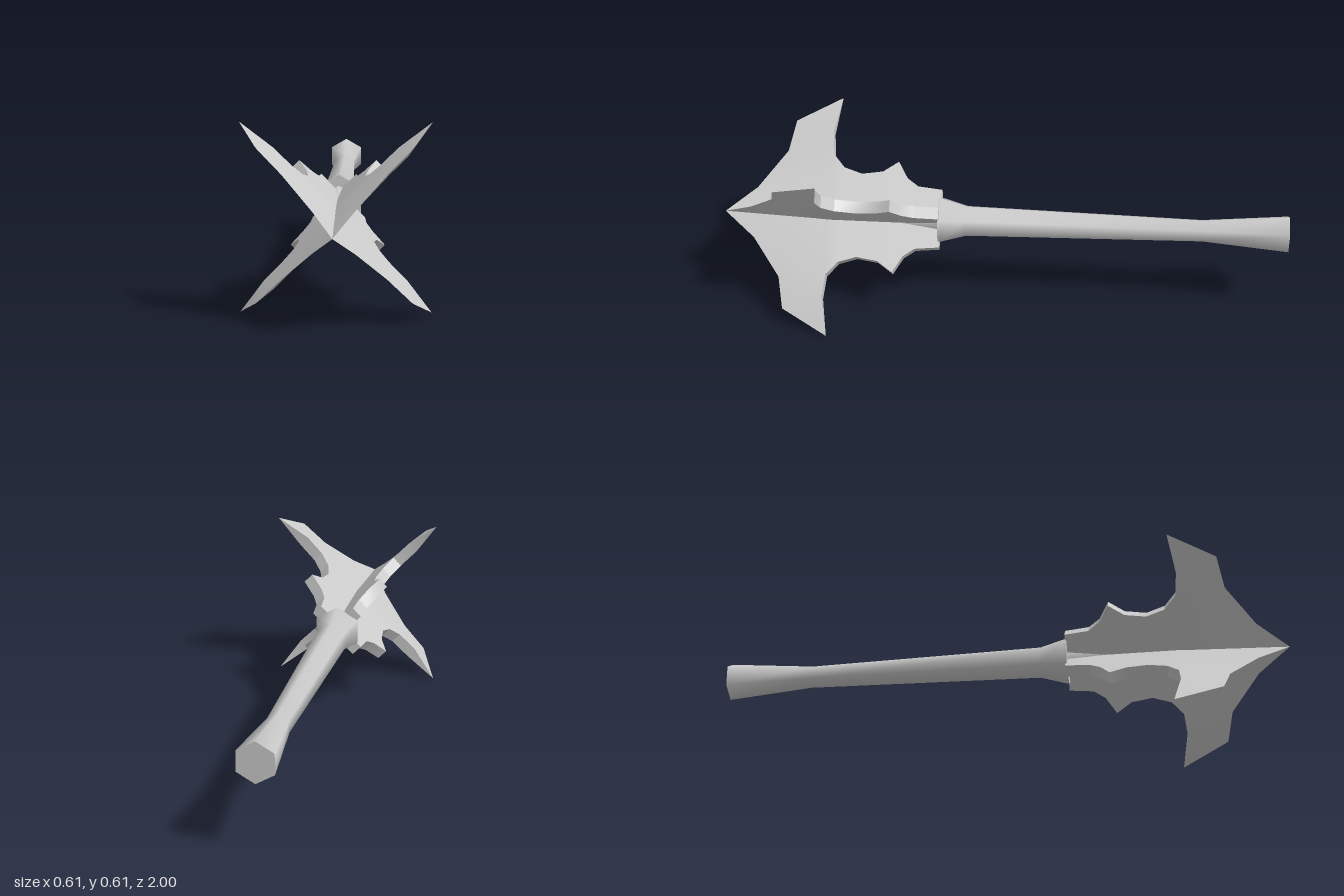
import * as THREE from 'three';
import { toCreasedNormals } from 'three/addons/utils/BufferGeometryUtils.js';

const CENTER_Y = 0.307;
const HALF = 0.021; // half thickness of a blade

// Six-sided solid of revolution along z, from [radius, z] pairs
function hexLathe(profile) {
  const geo = new THREE.LatheGeometry(profile.map(([r, z]) => new THREE.Vector2(r, z)), 6);
  geo.rotateX(Math.PI / 2);
  return toCreasedNormals(geo, 1.2);
}

// Blade: sharp leading edge, thick notched trailing edge, in the local x-z plane
function bladeGeometry() {
  const point = (z, h, t) => ({ z, x: h * Math.SQRT2, t });
  // leading edge, nose to wing tip
  const front = [[1, 0], [0.89, 0.065], [0.79, 0.163], [0.768, 0.243], [0.605, 0.307]]
    .map(([z, h]) => point(z, h, 0));
  // trailing edge, wing root to collar
  const rear = [[0.628, 0.213], [0.62, 0.155], [0.58, 0.122], [0.515, 0.107], [0.44, 0.115],
    [0.385, 0.142], [0.35, 0.1], [0.31, 0.08], [0.225, 0.074]]
    .map(([z, h]) => point(z, h, HALF));
  const axis = rear.slice(1).map((p) => point(p.z, 0, HALF));

  const pos = [];
  const push = (p, s) => pos.push(p.x, s * p.t, p.z);
  const sides = (a, b, c) => {
    const area = (b.z - a.z) * (c.x - a.x) - (b.x - a.x) * (c.z - a.z);
    const tri = area > 0 ? [a, b, c] : [a, c, b];
    tri.forEach((p) => push(p, 1));
    [...tri].reverse().forEach((p) => push(p, -1));
  };

  // wing and nose
  const [f0, f1, f2, f3, tip] = front;
  sides(tip, f3, rear[0]);
  sides(f3, f2, rear[0]);
  sides(f2, rear[1], rear[0]);
  sides(f2, f1, rear[1]);
  sides(f1, axis[0], rear[1]);
  sides(f1, f0, axis[0]);
  // notched body
  for (let i = 0; i < axis.length - 1; i++) {
    sides(axis[i], rear[i + 1], rear[i + 2]);
    sides(axis[i], rear[i + 2], axis[i + 1]);
  }
  // thick rim
  const rim = [tip, ...rear, axis[axis.length - 1]];
  for (let i = 0; i < rim.length - 1; i++) {
    const a = rim[i], b = rim[i + 1];
    push(a, -1); push(b, -1); push(b, 1);
    if (a.t > 0) { push(a, -1); push(b, 1); push(a, 1); }
  }
  const geo = new THREE.BufferGeometry();
  geo.setAttribute('position', new THREE.Float32BufferAttribute(pos, 3));
  return toCreasedNormals(geo, 0.5);
}

export function createModel() {
  const model = new THREE.Group();
  model.name = 'flangedMace';
  const material = new THREE.MeshStandardMaterial({ color: 0xcccccc });
  const add = (geo, name) => {
    const mesh = new THREE.Mesh(geo, material);
    mesh.name = name;
    mesh.position.y = CENTER_Y;
    model.add(mesh);
    return mesh;
  };

  // Shaft with flared butt and collar
  add(hexLathe([[0, -1], [0.07, -1], [0.042, -0.7], [0.059, 0.13], [0.087, 0.22],
    [0.087, 0.23], [0, 0.23]]), 'handle');
  // Tapered core between the blades
  add(hexLathe([[0, 0.22], [0.05, 0.22], [0.02, 0.5], [0, 0.5]]), 'core');

  // Four blades on the diagonals
  const blade = bladeGeometry();
  for (let i = 0; i < 4; i++) {
    add(blade, `blade${i + 1}`).rotation.z = Math.PI / 4 + (i * Math.PI) / 2;
  }
  return model;
}
